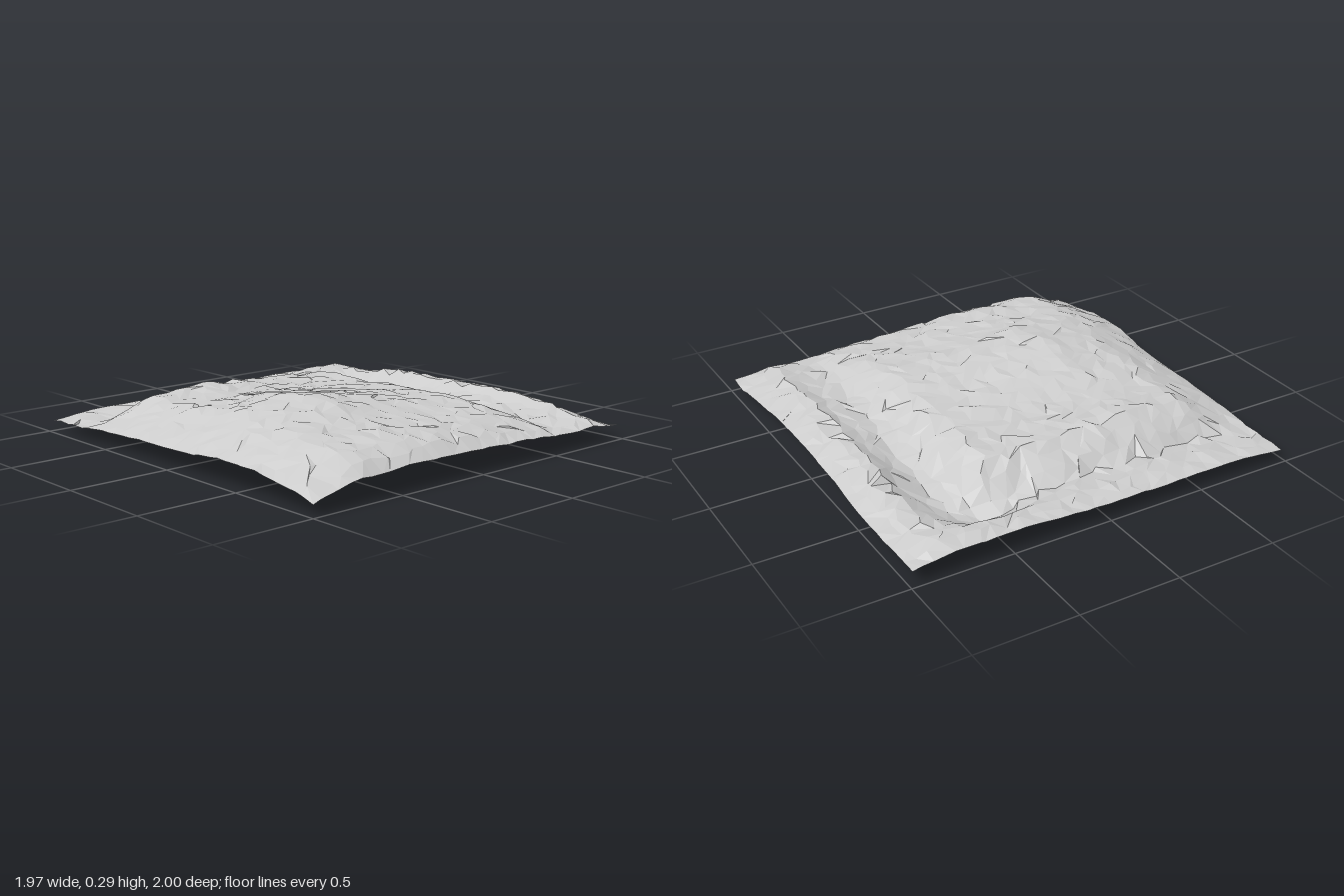
import * as THREE from 'three';

// Stations of the relief across x and z, and one row of heights per z station
const XS = [-1, -0.9, -0.74, -0.66, -0.56, -0.34, 0.17, 0.4, 0.62, 0.91, 1];
const ZS = [-1, -0.83, -0.73, -0.61, -0.51, -0.41, -0.1, 0.38, 0.72, 0.86, 1];
const HEIGHTS = [
  [0.07, 0.07, 0.07, 0.08, 0.09, 0.10, 0.12, 0.115, 0.095, 0.055, 0.07], // back edge
  [0.10, 0.13, 0.12, 0.13, 0.15, 0.17, 0.18, 0.18, 0.16, 0.13, 0.09], // back ridge
  [0.10, 0.13, 0.09, 0.08, 0.08, 0.10, 0.13, 0.14, 0.13, 0.12, 0.09],
  [0.10, 0.13, 0.03, 0.02, 0.03, 0.05, 0.11, 0.125, 0.12, 0.10, 0.08], // trough
  [0.10, 0.12, 0.00, 0.00, 0.07, 0.12, 0.14, 0.16, 0.15, 0.12, 0.09],
  [0.10, 0.12, 0.02, 0.07, 0.19, 0.20, 0.205, 0.215, 0.19, 0.14, 0.10], // plateau rim
  [0.08, 0.11, 0.08, 0.15, 0.20, 0.19, 0.225, 0.23, 0.195, 0.16, 0.11],
  [0.08, 0.10, 0.09, 0.17, 0.23, 0.205, 0.30, 0.28, 0.22, 0.195, 0.12], // summit
  [0.08, 0.09, 0.07, 0.16, 0.21, 0.20, 0.24, 0.24, 0.22, 0.19, 0.11],
  [0.07, 0.08, 0.065, 0.10, 0.13, 0.14, 0.18, 0.19, 0.18, 0.13, 0.09],
  [0.06, 0.06, 0.065, 0.07, 0.08, 0.09, 0.105, 0.13, 0.12, 0.08, 0.05], // front edge
];

// Cell index and blend factor of a value among stations
function locate(stations, v) {
  let i = 0;
  while (i < stations.length - 2 && v > stations[i + 1]) i++;
  const t = (v - stations[i]) / (stations[i + 1] - stations[i]);
  return [i, THREE.MathUtils.clamp(t, 0, 1)];
}

function heightAt(x, z) {
  const [i, u] = locate(XS, x);
  const [j, v] = locate(ZS, z);
  const { lerp } = THREE.MathUtils;
  return lerp(
    lerp(HEIGHTS[j][i], HEIGHTS[j][i + 1], u),
    lerp(HEIGHTS[j + 1][i], HEIGHTS[j + 1][i + 1], u), v);
}

function seeded(seed) {
  return () => {
    seed = (seed * 16807) % 2147483647;
    return (seed / 2147483647) * 2 - 1;
  };
}

export function createModel() {
  const group = new THREE.Group();
  group.name = 'terrain';
  const rand = seeded(4711);
  const n = 32;
  const step = 2 / n;
  const positions = [], index = [];

  for (let r = 0; r <= n; r++) {
    for (let c = 0; c <= n; c++) {
      let x = -1 + c * step, z = -1 + r * step;
      const edgeX = c === 0 || c === n, edgeZ = r === 0 || r === n;
      // Irregular facets inside, clean border outside
      const jx = rand(), jz = rand(), jy = rand();
      if (!edgeX) x += jx * step * 0.4;
      if (!edgeZ) z += jz * step * 0.4;
      const rough = edgeX || edgeZ ? 0.004 : 0.008;
      const y = Math.max(0, heightAt(x, z) + jy * rough);
      // Slight bulges of the front and back borders
      const bulge = z > 0 ? Math.exp(-(((x - 0.45) / 0.25) ** 2)) : Math.exp(-(((x + 0.5) / 0.2) ** 2));
      positions.push(x * 0.983, y, z * (0.985 + 0.015 * bulge));

      // Two triangles per cell, with the diagonal turned at random
      if (r < n && c < n) {
        const a = r * (n + 1) + c, b = a + 1, d = a + n + 1, e = d + 1;
        if (rand() > 0) index.push(a, d, b, b, d, e);
        else index.push(a, d, e, a, e, b);
      }
    }
  }

  const geometry = new THREE.BufferGeometry();
  geometry.setAttribute('position', new THREE.Float32BufferAttribute(positions, 3));
  geometry.setIndex(index);
  const flat = geometry.toNonIndexed();
  flat.computeVertexNormals();
  const ground = new THREE.Mesh(flat, new THREE.MeshStandardMaterial({
    color: 0xcccccc, flatShading: true, side: THREE.DoubleSide,
  }));
  ground.name = 'groundSurface';
  group.add(ground);
  return group;
}
